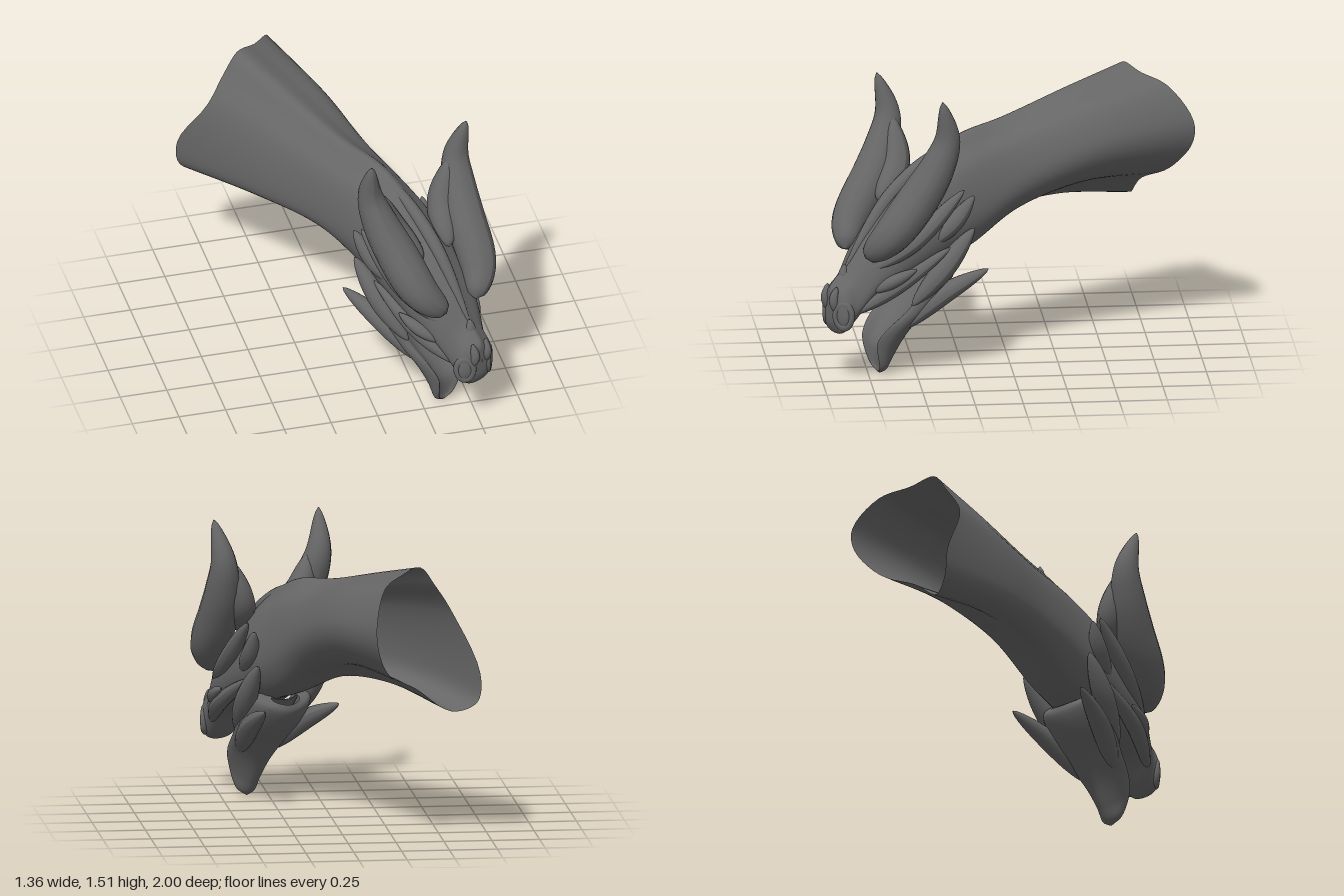
import * as THREE from 'three';

const material = new THREE.MeshStandardMaterial({ color: 0x666666, side: THREE.DoubleSide });
const V = (p) => new THREE.Vector3(...p);

// Half profiles from top to bottom: [height fraction, width fraction]
const skullProfile = [[1, 0], [0.9, 0.35], [0.76, 0.74], [0.43, 1], [0.23, 0.95], [0.05, 0.6], [0, 0]];
const jawProfile = [[0.6, 0], [0.7, 0.55], [1, 0.9], [0.7, 1.05], [0.35, 0.85], [0.08, 0.4], [0, 0]];

// Runs a half profile down the left side and back up the right side
function fullLoop(profile, place) {
  const left = profile.map(([f, u]) => place(f, u));
  const right = profile.slice(1, -1).reverse().map(([f, u]) => place(f, -u));
  return [...left, ...right];
}

// Smooth skin through closed loops of points
function loft(loops, along, around) {
  const columns = loops[0].map((_, j) =>
    new THREE.CatmullRomCurve3(loops.map((l) => l[j]), false, 'centripetal'));
  const pos = [], index = [];
  for (let i = 0; i <= along; i++) {
    const ring = new THREE.CatmullRomCurve3(columns.map((c) => c.getPoint(i / along)), true, 'centripetal');
    for (let j = 0; j < around; j++) pos.push(...ring.getPoint(j / around).toArray());
  }
  for (let i = 0; i < along; i++) {
    for (let j = 0; j < around; j++) {
      const k = (j + 1) % around;
      const a = i * around + j, b = i * around + k, c = a + around, d = b + around;
      index.push(a, c, b, b, c, d);
    }
  }
  const g = new THREE.BufferGeometry();
  g.setAttribute('position', new THREE.Float32BufferAttribute(pos, 3));
  g.setIndex(index);
  g.computeVertexNormals();
  return g;
}

// Tube that swells to its full radius at `peak` and rounds off at both ends
function spike(points, radius, peak) {
  const segments = 40, sides = 14;
  const path = new THREE.CatmullRomCurve3(points.map(V), false, 'centripetal');
  const g = new THREE.TubeGeometry(path, segments, 1, sides);
  const power = Math.log(0.5) / Math.log(peak);
  const p = g.attributes.position, v = new THREE.Vector3();
  for (let i = 0; i <= segments; i++) {
    const t = i / segments;
    const c = path.getPointAt(t);
    const swell = Math.max(0, Math.sin(Math.PI * t ** power)) ** 0.65;
    for (let j = 0; j <= sides; j++) {
      const k = i * (sides + 1) + j;
      v.fromBufferAttribute(p, k).sub(c).multiplyScalar(0.002 + radius * swell).add(c);
      p.setXYZ(k, v.x, v.y, v.z);
    }
  }
  g.computeVertexNormals();
  return g;
}

export function createModel() {
  const model = new THREE.Group();
  const head = new THREE.Group();
  head.name = 'dragonHead';
  head.rotation.y = Math.atan(0.5);
  head.position.x = 0.0175;
  model.add(head);

  const add = (name, geometry) => {
    const m = new THREE.Mesh(geometry, material);
    m.name = name;
    head.add(m);
    return m;
  };
  const pair = (name, points, radius, peak = 0.45) => {
    add(name + 'Left', spike(points, radius, peak));
    add(name + 'Right', spike(points.map(([x, y, z]) => [-x, y, z]), radius, peak));
  };

  // Hollow neck running on into skull and snout: depth, top, bottom, half width, roll
  const bodyStations = [
    [-0.76, 1.43, 0.72, 0.32, 0.3], [-0.4, 1.35, 0.77, 0.265, 0.25], [0, 1.26, 0.73, 0.205, 0.14],
    [0.28, 1.22, 0.62, 0.19, 0], [0.5, 1.12, 0.55, 0.2, 0], [0.72, 0.95, 0.47, 0.19, 0],
    [0.88, 0.76, 0.41, 0.155, 0], [0.98, 0.61, 0.3, 0.115, 0], [1.04, 0.55, 0.26, 0.11, 0],
    [1.075, 0.51, 0.31, 0.06, 0], [1.08, 0.42, 0.4, 0.002, 0],
  ];
  add('neckAndSkull', loft(bodyStations.map(([z, top, bottom, w, roll], i) =>
    fullLoop(skullProfile, (f, u) => {
      // The open end is cut back along its sides and underside, with a notch on the upper right
      const sideCut = u < 0 && f > 0.5 ? 0 : 0.15 * u * u;
      const cut = i === 0 ? sideCut + 0.07 * (1 - f) : 0;
      // The neck leans over and folds inward along its underside
      const fold = 0.3 * roll * (1 - f) * (1 - Math.abs(u));
      const x = u * w - 0.25 * roll * f ** 4;
      const y = bottom + f * (top - bottom) + roll * (2 - f) * u * w + fold;
      return new THREE.Vector3(x, y, z - cut);
    })), 90, 60));

  // Scooped lower jaw: bottom y, z, top y, z, half width
  const jawStations = [
    [0.54, 0.36, 0.58, 0.42, 0.08], [0.5, 0.36, 0.6, 0.46, 0.16], [0.41, 0.42, 0.5, 0.57, 0.18],
    [0.31, 0.53, 0.36, 0.68, 0.155], [0.19, 0.63, 0.26, 0.79, 0.115], [0.08, 0.7, 0.19, 0.83, 0.085],
    [0.02, 0.74, 0.05, 0.8, 0.052], [0.002, 0.77, 0.01, 0.78, 0.006],
  ];
  add('lowerJaw', loft(jawStations.map(([by, bz, ty, tz, w]) =>
    fullLoop(jawProfile, (f, u) =>
      new THREE.Vector3(u * w, by + f * (ty - by), bz + f * (tz - bz)))), 48, 48));

  // Large horns growing from the swollen brows
  pair('horn', [[0.1, 0.67, 0.92], [0.195, 0.79, 0.83], [0.24, 1, 0.67], [0.27, 1.15, 0.585],
    [0.295, 1.3, 0.54], [0.325, 1.515, 0.587]], 0.106, 0.36);
  pair('hornRoot', [[0.09, 0.9, 0.72], [0.17, 1.06, 0.57], [0.25, 1.3, 0.545]], 0.075);

  // Ridges of the face
  add('crest', spike([[0, 1.2, 0.2], [0, 1.11, 0.48], [0, 0.94, 0.72], [0, 0.59, 0.99]], 0.034, 0.5));
  pair('cheekbone', [[0.09, 0.57, 0.95], [0.185, 0.72, 0.7], [0.235, 0.99, 0.4]], 0.045, 0.55);
  pair('upperLip', [[0.08, 0.37, 0.98], [0.165, 0.5, 0.78], [0.2, 0.68, 0.46]], 0.04);
  pair('cheekBarb', [[0.13, 0.49, 0.89], [0.19, 0.55, 0.79], [0.22, 0.6, 0.68]], 0.032);

  // Swept-back fins of the jaw and ear
  pair('jawSpike', [[0.09, 0.25, 0.7], [0.165, 0.42, 0.49], [0.23, 0.54, 0.25]], 0.052);
  pair('cheekFin', [[0.14, 0.38, 0.66], [0.185, 0.56, 0.5], [0.22, 0.77, 0.33]], 0.055, 0.5);
  pair('earFin', [[0.16, 0.7, 0.56], [0.2, 0.82, 0.43], [0.235, 0.95, 0.34]], 0.046);

  // Eyes under the brows and open nostril rims
  const eyeShape = new THREE.SphereGeometry(0.04, 20, 14).scale(0.8, 0.8, 1.4);
  const nostrilShape = new THREE.TorusGeometry(0.042, 0.018, 12, 24).scale(1, 1.4, 1);
  for (const [side, s] of [['Left', 1], ['Right', -1]]) {
    const eye = add('eye' + side, eyeShape);
    eye.position.set(s * 0.19, 0.75, 0.68);
    eye.rotation.x = 0.7;
    const nostril = add('nostril' + side, nostrilShape);
    nostril.position.set(s * 0.08, 0.37, 1.04);
    nostril.rotation.y = s * 0.75;
  }

  // Small bumps on the nose
  pair('noseBump', [[0.045, 0.38, 1.06], [0.04, 0.45, 1.075], [0.045, 0.52, 1.06]], 0.023);
  add('noseHorn', spike([[0, 0.46, 0.97], [0, 0.55, 0.99], [0, 0.62, 0.985]], 0.032, 0.45));

  return model;
}
